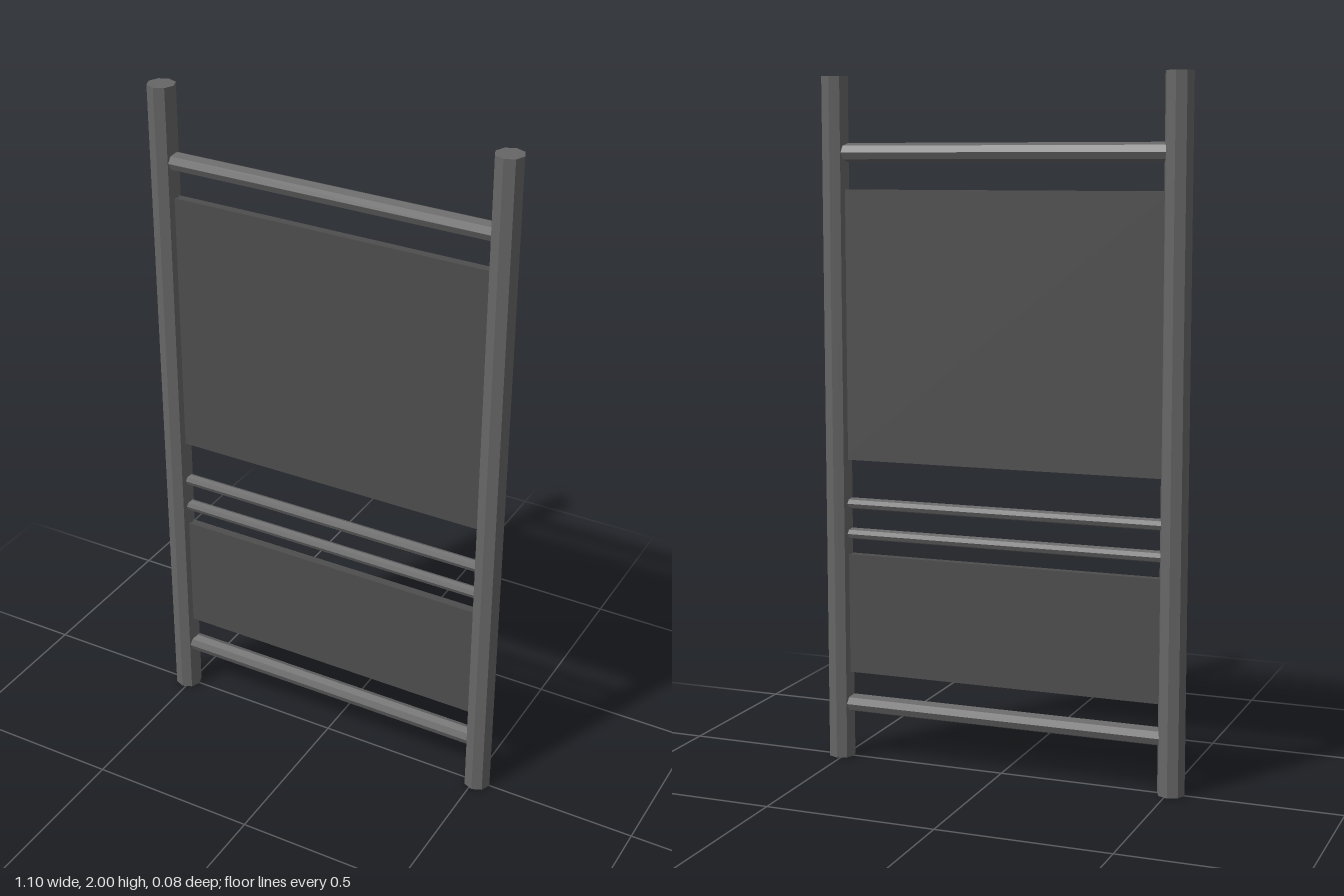
import * as THREE from 'three';

export function createModel() {
  const model = new THREE.Group();
  model.name = 'fenceSection';
  const frameMat = new THREE.MeshStandardMaterial({ color: 0x666666, flatShading: true });
  const panelMat = new THREE.MeshStandardMaterial({ color: 0x4d4d4d, flatShading: true });

  const postX = 0.51;
  const add = (name, geometry, material, x, y) => {
    const mesh = new THREE.Mesh(geometry, material);
    mesh.name = name;
    mesh.position.set(x, y, 0);
    model.add(mesh);
  };

  // Eight-sided upright posts
  for (const side of [-1, 1]) {
    add(side > 0 ? 'leftPost' : 'rightPost',
      new THREE.CylinderGeometry(0.04, 0.04, 2, 8), frameMat, side * postX, 1);
  }

  // Horizontal rails, running into the posts
  const rails = [
    ['topRail', 1.785, 0.027],
    ['upperMiddleRail', 0.767, 0.017],
    ['lowerMiddleRail', 0.677, 0.017],
    ['bottomRail', 0.164, 0.027],
  ];
  for (const [name, y, radius] of rails) {
    const rail = new THREE.CylinderGeometry(radius, radius, 2 * postX - 0.03, 8).rotateZ(Math.PI / 2);
    add(name, rail, frameMat, 0, y);
  }

  // Flat infill panels
  const panels = [
    ['upperPanel', 0.897, 1.68],
    ['lowerPanel', 0.26, 0.616],
  ];
  for (const [name, bottom, top] of panels) {
    add(name, new THREE.BoxGeometry(2 * postX - 0.03, top - bottom, 0.025), panelMat, 0, (top + bottom) / 2);
  }

  return model;
}
